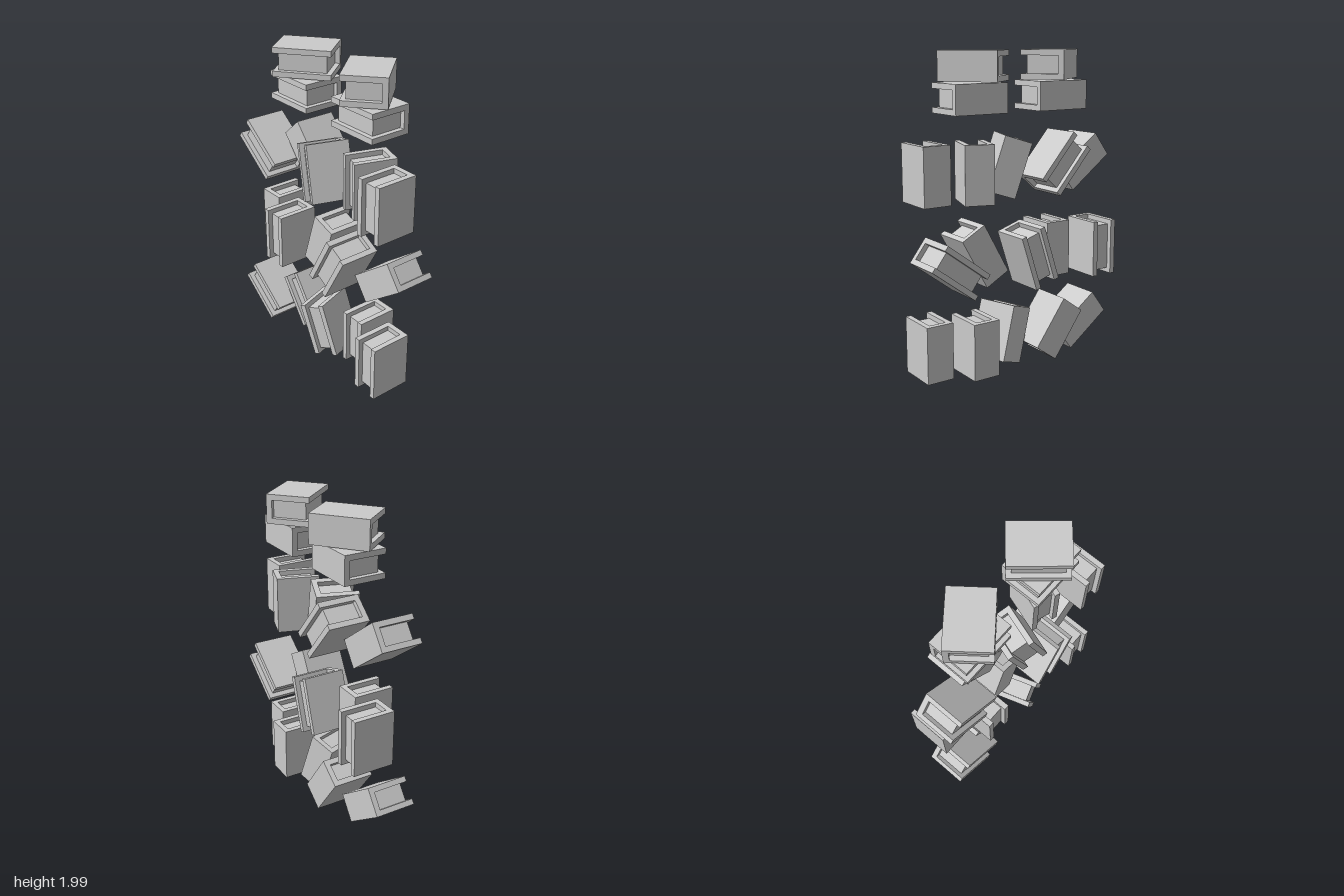
import * as THREE from 'three';

const H = 0.36, D = 0.27, T = 0.18;          // book height, depth, thickness
const BOARD = 0.035, INSET = 0.031;          // cover thickness, page setback

const material = new THREE.MeshStandardMaterial({ color: 0xcccccc, flatShading: true });

// C-shaped cover: two boards joined by the spine at +x
function coverGeometry() {
  const x = D / 2, y = T / 2;
  const pts = [[-x, -y], [x, -y], [x, y], [-x, y], [-x, y - BOARD],
    [x - BOARD, y - BOARD], [x - BOARD, -y + BOARD], [-x, -y + BOARD]];
  const shape = new THREE.Shape(pts.map(([a, b]) => new THREE.Vector2(a, b)));
  const geo = new THREE.ExtrudeGeometry(shape, { depth: H, bevelEnabled: false });
  return geo.translate(0, 0, -H / 2).rotateX(-Math.PI / 2);
}

// Page block set back from the open edges
function pagesGeometry() {
  const depth = D - BOARD - INSET;
  return new THREE.BoxGeometry(depth, H - 2 * INSET, T - 2 * BOARD)
    .translate((INSET - BOARD) / 2, 0, 0);
}

export function createModel() {
  const model = new THREE.Group();
  model.name = 'books';
  const coverGeo = coverGeometry(), pagesGeo = pagesGeometry();

  // tilt: lean about x (positive leans forward); yaw: turn about y, applied last
  function addBook(parent, { x, y, z, tilt = 0, yaw = 0, spineRight = false }) {
    const book = new THREE.Group();
    book.name = 'book';
    const cover = new THREE.Mesh(coverGeo, material);
    cover.name = 'cover';
    const pages = new THREE.Mesh(pagesGeo, material);
    pages.name = 'pages';
    const body = new THREE.Group();
    body.name = 'bookBody';
    body.add(cover, pages);
    if (spineRight) body.rotation.y = Math.PI;
    book.add(body);
    book.position.set(x, y, z);
    book.rotation.set(THREE.MathUtils.degToRad(tilt), THREE.MathUtils.degToRad(yaw), 0, 'YXZ');
    parent.add(book);
  }

  const rows = {
    bottomRow: [
      { x: -0.075, y: 0.198, z: 0.585 },
      { x: 0.04, y: 0.198, z: 0.325 },
      { x: -0.067, y: 0.206, z: 0.066, tilt: -18, yaw: 18 },
      { x: 0.04, y: 0.225, z: -0.233, tilt: -36 },
      { x: -0.075, y: 0.198, z: -0.511, tilt: -53.5 },
    ],
    middleRow: [
      { x: 0.065, y: 0.72, z: 0.513, tilt: 53, spineRight: true },
      { x: -0.103, y: 0.746, z: 0.238, tilt: 29 },
      { x: 0.065, y: 0.725, z: -0.058, tilt: 18, spineRight: true },
      { x: -0.097, y: 0.72, z: -0.32 },
      { x: 0.065, y: 0.72, z: -0.574, spineRight: true },
    ],
    upperRow: [
      { x: -0.075, y: 1.28, z: 0.585 },
      { x: 0.034, y: 1.28, z: 0.317, yaw: -18 },
      { x: -0.07, y: 1.29, z: 0.03, tilt: -18, yaw: -18 },
      { x: 0.09, y: 1.307, z: -0.238, tilt: -41, spineRight: true },
      { x: -0.075, y: 1.28, z: -0.511, tilt: -53.5 },
    ],
    // Two piles of flat books, the top one turned
    topPiles: [
      { x: 0.01, y: 1.722, z: 0.328, tilt: 90 },
      { x: 0.018, y: 1.91, z: 0.305, tilt: 90, yaw: -49 },
      { x: 0.01, y: 1.722, z: -0.268, tilt: 90 },
      { x: 0.013, y: 1.91, z: -0.257, tilt: 90, yaw: 38.3 },
    ],
  };

  for (const [name, books] of Object.entries(rows)) {
    const row = new THREE.Group();
    row.name = name;
    books.forEach((b) => addBook(row, b));
    model.add(row);
  }
  return model;
}
